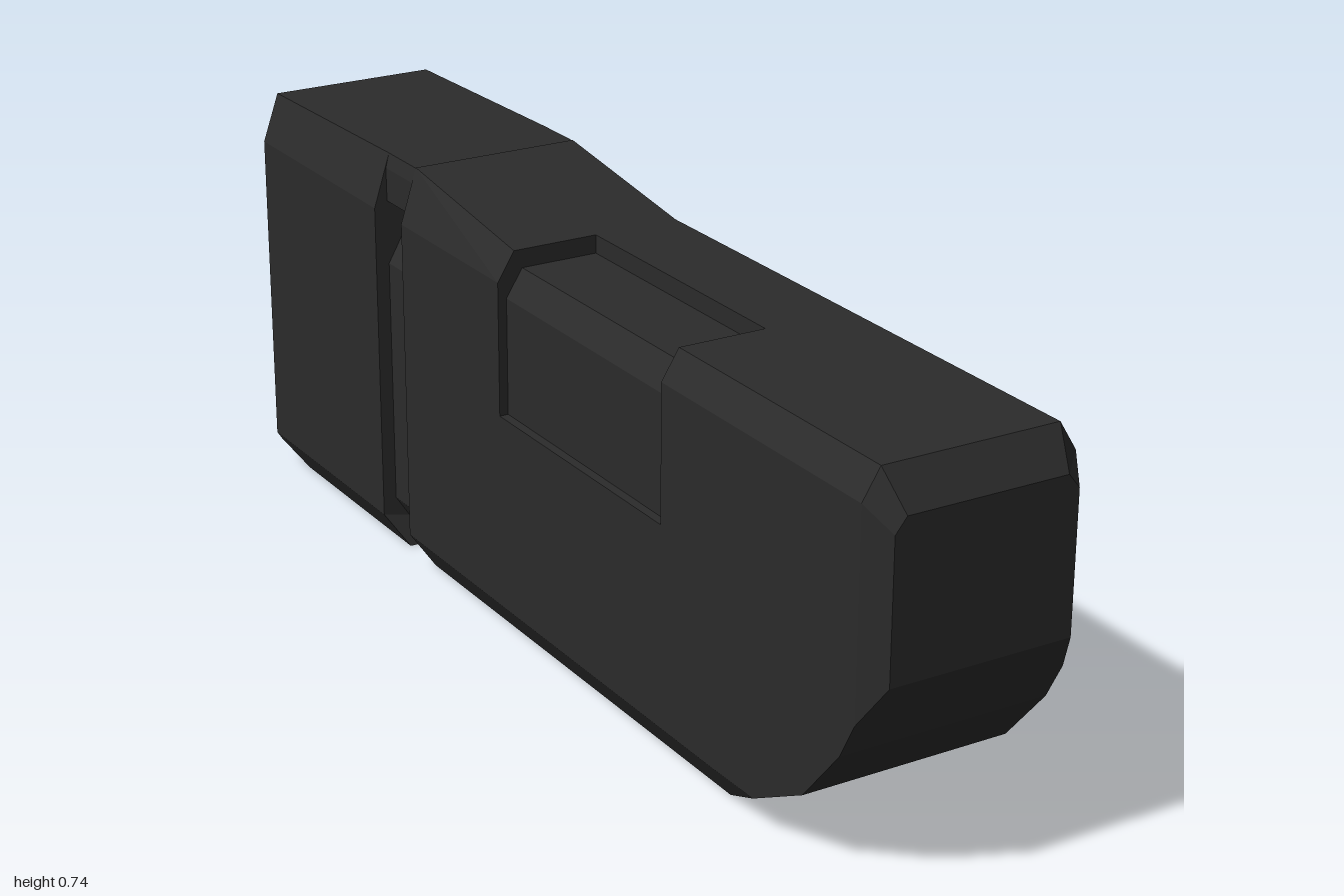
import * as THREE from 'three';

const material = new THREE.MeshStandardMaterial({ color: 0x2b2b2b, flatShading: true });

// One chamfered cross-section, counter-clockwise seen from the front.
// b/t: bottom/top height, ws/wt: half width at side/top, ys: shoulder height,
// zb: z of the bottom edge, port: cut the shallow recess into the -x shoulder.
function section({ z, b = 0, t, ws = 0.186, wt = 0.155, ys = 0.645, zb = z, port = false }) {
  const lo = Math.max(b, 0.06);
  const wb = b >= 0.06 ? ws : 0.148 + (ws - 0.148) * (b / 0.06);
  const recess = port
    ? [[0, 0.663], [-0.14, 0.663], [-0.17, 0.615], [-0.17, 0.41]]
    : [[0, t], [-wt, t], [-ws, ys], [-ws, 0.41]];
  return [
    [wb, b, zb], [ws, lo, z], [ws, ys, z], [wt, t, z], [0, t, z],
    ...recess.map(([x, y]) => [x, y, z]),
    [-ws, 0.41, z], [-ws, lo, z], [-wb, b, zb],
  ];
}

// Skin the sections from back to front and close both ends.
function loft(specs) {
  const rings = specs.map(section);
  const n = rings[0].length;
  const pos = [];
  const tri = (...pts) => pts.forEach((p) => pos.push(...p));
  for (let i = 0; i < rings.length - 1; i++) {
    const s = rings[i], e = rings[i + 1];
    for (let j = 0; j < n; j++) {
      const k = (j + 1) % n;
      tri(s[j], s[k], e[k]);
      tri(s[j], e[k], e[j]);
    }
  }
  const first = rings[0], last = rings[rings.length - 1];
  for (let j = 1; j < n - 1; j++) {
    tri(first[0], first[j + 1], first[j]);
    tri(last[0], last[j], last[j + 1]);
  }
  const geometry = new THREE.BufferGeometry();
  geometry.setAttribute('position', new THREE.Float32BufferAttribute(pos, 3));
  geometry.computeVertexNormals();
  return geometry;
}

// Extrude a mirrored half outline between two z positions.
function prism(half, z0, z1) {
  const mirrored = half.map(([x, y]) => [-x, y]).reverse();
  const shape = new THREE.Shape([...half, ...mirrored].map(([x, y]) => new THREE.Vector2(x, y)));
  return new THREE.ExtrudeGeometry(shape, { depth: z1 - z0, bevelEnabled: false }).translate(0, 0, z0);
}

export function createModel() {
  const model = new THREE.Group();
  model.name = 'slideBody';
  const add = (name, geometry) => {
    const mesh = new THREE.Mesh(geometry, material);
    mesh.name = name;
    model.add(mesh);
  };

  // Long front body with rising rear top, shoulder recess and curved nose
  const t = 0.695;
  add('frontBody', loft([
    { z: -0.424, zb: -0.4, t: 0.742 },
    { z: -0.08, t },
    { z: -0.08, t, port: true },
    { z: 0.43, t, port: true },
    { z: 0.43, t },
    { z: 0.58, t },
    { z: 0.7, b: 0.062, t },
    { z: 0.83, b: 0.13, t },
    { z: 0.92, b: 0.235, t },
    { z: 0.955, b: 0.3, t },
    { z: 1, b: 0.372, t: 0.633, ws: 0.16, wt: 0.14, ys: 0.608 },
  ]));

  // Rear block behind the groove
  add('rearBlock', loft([
    { z: -1, b: 0.08, t: 0.715, ws: 0.172, wt: 0.145, ys: 0.635 },
    { z: -0.98, b: 0.045, t: 0.733 },
    { z: -0.92, t: 0.734 },
    { z: -0.525, zb: -0.497, t: 0.741 },
  ]));

  // Chamfered core at the bottom of the groove
  add('grooveCore', prism(
    [[0.13, 0.04], [0.162, 0.09], [0.162, 0.54], [0.135, 0.59]], -0.54, -0.4));

  // Bridge joining both blocks over the through slot
  add('topBridge', prism([[0.162, 0.655], [0.162, 0.715], [0.155, 0.741]], -0.525, -0.424));

  return model;
}
